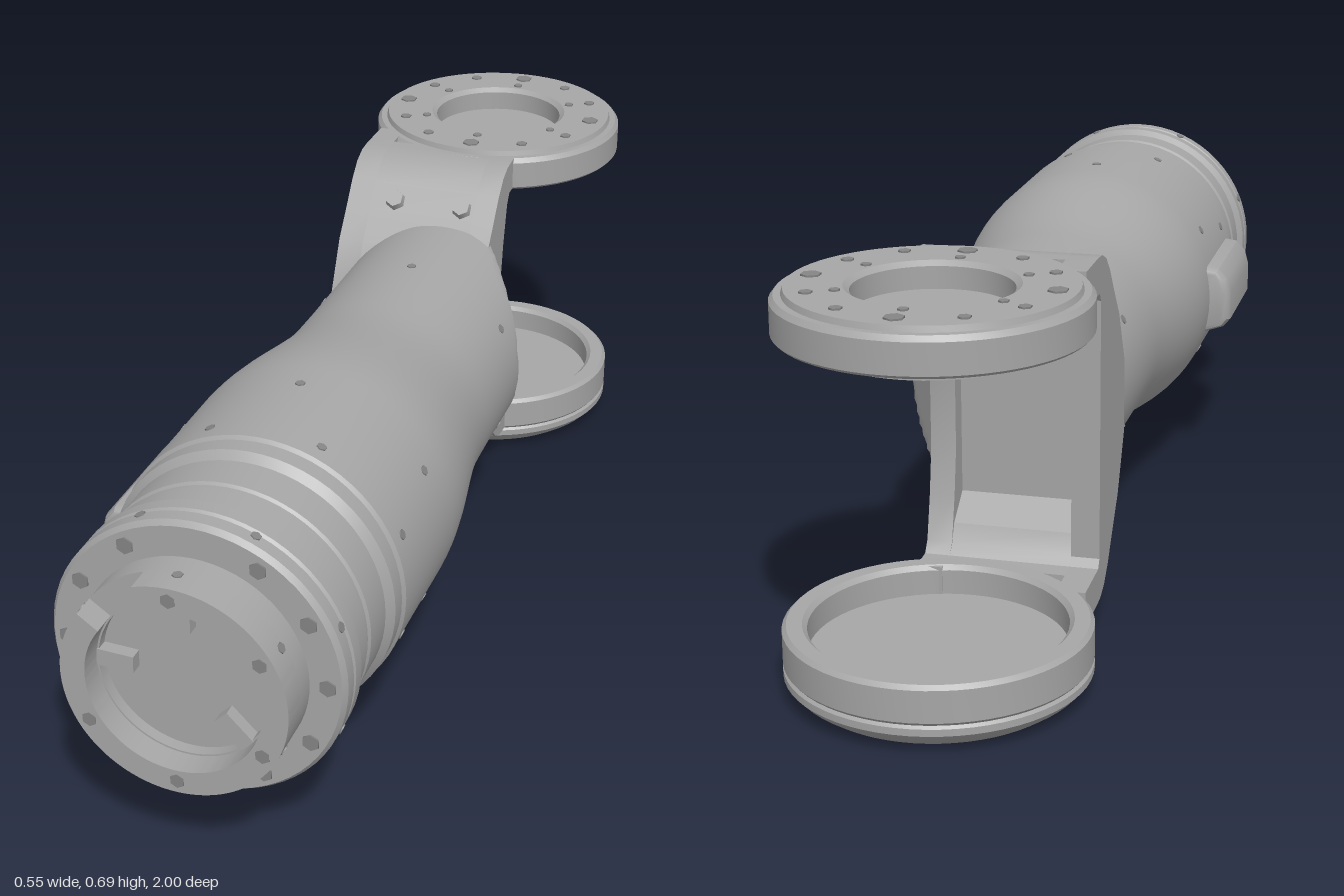
import * as THREE from 'three';
import { toCreasedNormals } from 'three/addons/utils/BufferGeometryUtils.js';

const CX = 0.02, CY = 0.366, RZ = -0.745; // arm axis and ring centre
const metal = new THREE.MeshStandardMaterial({ color: 0xa6a6a6 });
metal.name = 'grey metal';
const boltMetal = new THREE.MeshStandardMaterial({ color: 0x858585 });
boltMetal.name = 'dark bolt metal';

const v2 = (list) => list.map(([x, y]) => new THREE.Vector2(x, y));

function add(parent, name, geometry, material = metal) {
  const mesh = new THREE.Mesh(geometry, material);
  mesh.name = name;
  parent.add(mesh);
  return mesh;
}

// Turned part; points are [radius, height], creased at hard edges
function turned(points) {
  return new THREE.LatheGeometry(v2(points), 64);
}
const crease = (g) => toCreasedNormals(g, 0.5);

// Side outline in [z, y], extruded from x0 to x1
function sideSlab(outline, x0, x1) {
  const g = new THREE.ExtrudeGeometry(new THREE.Shape(v2(outline)), { depth: x1 - x0, bevelEnabled: false });
  g.rotateY(-Math.PI / 2);
  g.translate(x1, 0, 0);
  return crease(g);
}

// Main tubular body with its slanted flat on the left side
function bodyGeometry() {
  const pts = [[0, -0.38], [0.195, -0.38], [0.207, -0.365]];
  for (let i = 0; i <= 16; i++) pts.push([0.21, -0.36 + i * 0.0125]);
  pts.push([0.21, -0.05], [0.211, 0.02]);
  for (let i = 1; i <= 10; i++) {
    const t = i / 10;
    pts.push([0.211 + 0.044 * t * t * (3 - 2 * t), 0.02 + 0.36 * t]);
  }
  pts.push([0.255, 0.635], [0.25, 0.642], [0.25, 0.675], [0.238, 0.69], [0.238, 0.76], [0.234, 0.765],
    [0.234, 0.775], [0.238, 0.78], [0.238, 0.835], [0.25, 0.84], [0.25, 0.865], [0.245, 0.87],
    [0.25, 0.875], [0.25, 0.9], [0.243, 0.91], [0.19, 0.91], [0.19, 0.955], [0.145, 0.955],
    [0.145, 0.935], [0, 0.935]);
  const g = turned(pts);
  g.rotateX(Math.PI / 2);
  g.translate(CX, CY, 0);
  const p = g.attributes.position;
  for (let i = 0; i < p.count; i++) {
    const z = p.getZ(i);
    if (z < -0.18) p.setX(i, Math.min(p.getX(i), 0.235 + (z + 0.19) * 0.67));
  }
  return crease(g);
}

// Annular sector at the end of the wrist, with a bite left open
function rimGeometry(a0, a1, inner, outer, depth) {
  const s = new THREE.Shape();
  s.absarc(0, 0, outer, a0, a1, false);
  s.absarc(0, 0, inner, a1, a0, true);
  const g = new THREE.ExtrudeGeometry(s, { depth, bevelEnabled: false, curveSegments: 56 });
  return crease(g);
}

export function createModel() {
  const model = new THREE.Group();
  model.name = 'robotArmLink';

  add(model, 'body', bodyGeometry());

  // Wrist rim, inner lugs and side cover
  const rim = add(model, 'wristRim', rimGeometry(-Math.PI * 1.2, Math.PI * 0.6, 0.148, 0.19, 0.05));
  rim.position.set(CX, CY, 0.95);
  for (const a of [-0.8, 1.57, 3.1]) {
    const lug = add(model, 'wristLug', new THREE.BoxGeometry(0.07, 0.03, 0.025));
    lug.position.set(CX + 0.12 * Math.cos(a), CY + 0.12 * Math.sin(a), 0.945);
    lug.rotation.z = a;
  }
  const cover = new THREE.Shape(v2([[-0.2, 0.29], [-0.2, 0.437], [-0.25, 0.43], [-0.268, 0.41],
    [-0.276, 0.38], [-0.276, 0.325], [-0.262, 0.308], [-0.225, 0.295]]));
  const coverGeo = new THREE.ExtrudeGeometry(cover, {
    depth: 0.23, bevelThickness: 0.02, bevelSize: 0.012, bevelOffset: -0.012, bevelSegments: 3,
  });
  coverGeo.translate(0, 0, 0.385);
  add(model, 'sideCover', crease(coverGeo));

  // Fork neck: side walls around a pocket that opens to the back
  const neck = new THREE.Group();
  neck.name = 'forkNeck';
  model.add(neck);
  const half = [[-0.28, 0.3], [-0.33, 0.2], [-0.375, 0.145], [-0.41, 0.1], [-0.44, 0.072], [-0.47, 0.059], [-0.5, 0.056]];
  const neckOutline = (tip, inner) => {
    const low = [...half, [tip, 0.056], [tip, 0.118], [-0.49, 0.12], ...inner];
    const up = low.map(([z, y]) => [z, 0.732 - y]).reverse();
    return [...low, ...up];
  };
  add(neck, 'outerWall', sideSlab(neckOutline(-0.59, [[-0.48, 0.135]]), -0.19, -0.14));
  add(neck, 'pocketWall', sideSlab(neckOutline(-0.525, [[-0.475, 0.135], [-0.46, 0.17], [-0.405, 0.21]]), -0.14, 0.075));
  add(neck, 'innerWall', sideSlab(neckOutline(-0.54, [[-0.475, 0.14], [-0.455, 0.22], [-0.442, 0.3]]), 0.075, 0.12));
  // Bosses on the sloping shoulder
  for (const y of [1, -1]) for (const x of [-0.09, 0.05]) {
    const boss = add(neck, 'shoulderBoss', new THREE.CylinderGeometry(0.018, 0.026, 0.04, 6));
    boss.position.set(x, CY + y * 0.235, -0.395);
    boss.rotation.x = y * 0.8 + (y < 0 ? Math.PI : 0);
  }

  // Upper ring with a shallow well and a closed underside
  const upper = add(model, 'upperRing', crease(turned([[0, 0.594], [0.165, 0.594], [0.17, 0.588], [0.19, 0.588],
    [0.19, 0.61], [0.25, 0.61], [0.255, 0.615], [0.255, 0.667], [0.248, 0.676], [0.236, 0.676],
    [0.233, 0.686], [0.14, 0.686], [0.13, 0.678], [0.13, 0.64], [0, 0.64]])));
  upper.position.set(CX, 0, RZ);

  // Lower ring with an open cup, and the domed cap under it
  const lower = add(model, 'lowerRing', crease(turned([[0, 0.052], [0.25, 0.052], [0.255, 0.058], [0.255, 0.113],
    [0.248, 0.12], [0.222, 0.12], [0.214, 0.112], [0.214, 0.068], [0, 0.068]])));
  lower.position.set(CX, 0, RZ);
  const cap = add(model, 'bottomCap', crease(turned([[0, 0], [0.195, 0], [0.22, 0.006], [0.24, 0.02],
    [0.255, 0.036], [0.255, 0.048], [0.25, 0.053], [0, 0.053]])));
  cap.position.set(CX, 0, RZ);

  // Bolt circles
  const bolts = new THREE.Group();
  bolts.name = 'bolts';
  model.add(bolts);
  const bolt = (size, pos, axis) => {
    const b = add(bolts, 'bolt', new THREE.CylinderGeometry(size, size, 0.008, 6), boltMetal);
    b.position.copy(pos);
    b.quaternion.setFromUnitVectors(new THREE.Vector3(0, 1, 0), axis);
  };
  const Y = new THREE.Vector3(0, 1, 0), Z = new THREE.Vector3(0, 0, 1);
  for (let i = 0; i < 12; i++) {
    const a = i * Math.PI / 6, c = Math.cos(a), s = Math.sin(a);
    if (i % 6 !== 3) bolt(0.015, new THREE.Vector3(CX + 0.22 * c, CY + 0.22 * s, 0.909), Z);
    bolt(i % 3 ? 0.011 : 0.017, new THREE.Vector3(CX + 0.2 * c, 0.685, RZ + 0.2 * s), Y);
    if (i % 2) bolt(0.009, new THREE.Vector3(CX + 0.155 * c, 0.685, RZ + 0.155 * s), Y);
    if (i % 2 && i !== 5) bolt(0.013, new THREE.Vector3(CX + 0.168 * c, CY + 0.168 * s, 0.997), Z);
  }
  // Small screws around the tube
  for (const [z, r, n] of [[0.96, 0.188, 6], [0.88, 0.248, 8], [0.6, 0.253, 8], [0.44, 0.253, 6], [-0.16, 0.208, 6]]) {
    for (let i = 0; i < n; i++) {
      const a = (i + 0.5) * 2 * Math.PI / n;
      const d = new THREE.Vector3(Math.cos(a), Math.sin(a), 0);
      bolt(0.009, new THREE.Vector3(CX + r * d.x, CY + r * d.y, z), d);
    }
  }
  return model;
}
